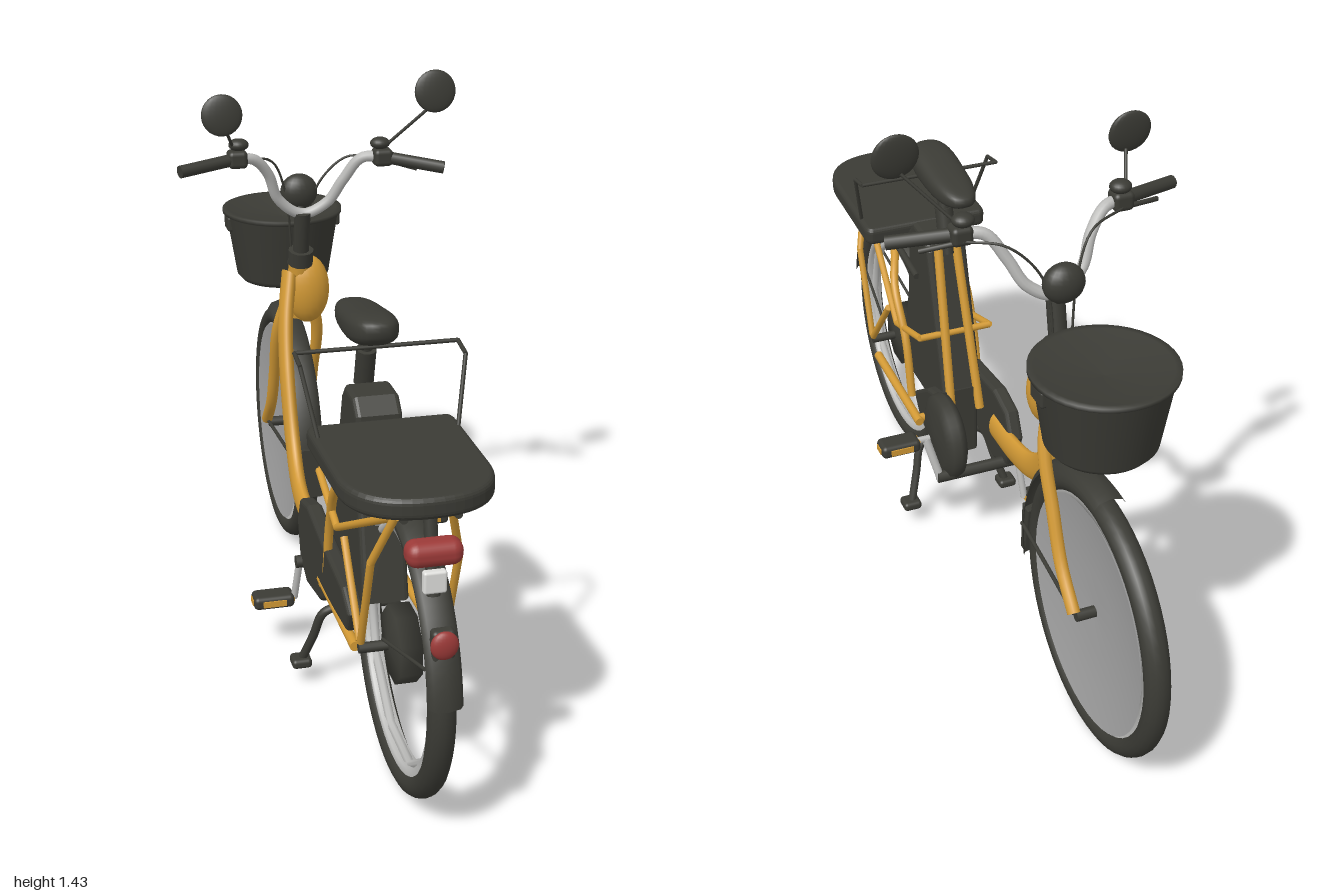
import * as THREE from 'three';
import { RoundedBoxGeometry } from 'three/addons/geometries/RoundedBoxGeometry.js';

export function createModel() {
  const root = new THREE.Group();
  root.name = 'bicycle';
  const material = (name, color, side = THREE.FrontSide) => {
    const m = new THREE.MeshStandardMaterial({ color, side });
    m.name = name;
    return m;
  };
  const dark = material('darkRubber', 0x3b3b35, THREE.DoubleSide);
  const gold = material('goldPaint', 0xd39a35);
  const chrome = material('chrome', 0xbcbcba, THREE.DoubleSide);
  const spokeGrey = material('spokeGrey', 0xa4a4a4, THREE.DoubleSide);
  const red = material('redLens', 0x9c3a38);
  const white = material('whiteReflector', 0xdededb);

  const add = (name, geo, mat, x = 0, y = 0, z = 0) => {
    const m = new THREE.Mesh(geo, mat);
    m.name = name;
    m.position.set(x, y, z);
    root.add(m);
    return m;
  };
  const v = (p) => new THREE.Vector3(...p);
  const tube = (name, pts, r, mat, seg = 24) =>
    add(name, new THREE.TubeGeometry(new THREE.CatmullRomCurve3(pts.map(v)), seg, r, 10), mat);
  // straight capped rod between two points
  const rod = (name, a, b, r, mat, r2 = r) => {
    const A = v(a), B = v(b), d = B.clone().sub(A);
    const m = add(name, new THREE.CylinderGeometry(r2, r, d.length(), 12), mat);
    m.position.copy(A).add(B).multiplyScalar(0.5);
    m.quaternion.setFromUnitVectors(new THREE.Vector3(0, 1, 0), d.normalize());
    return m;
  };
  const box = (name, w, h, d, r, mat, x, y, z) =>
    add(name, new RoundedBoxGeometry(w, h, d, 3, r), mat, x, y, z);
  const ball = (name, sx, sy, sz, mat, x, y, z) =>
    add(name, new THREE.SphereGeometry(1, 20, 14).scale(sx, sy, sz), mat, x, y, z);
  // lathe whose axis lies along x; profile is [radius, x]
  const wheelLathe = (pts, seg = 48, start = 0, len = Math.PI * 2) =>
    new THREE.LatheGeometry(pts.map((p) => new THREE.Vector2(...p)), seg, start, len).rotateZ(-Math.PI / 2);
  // side outline [z, y] extruded across x
  const sidePlate = (name, pts, x0, x1, bevel, mat) => {
    const s = new THREE.Shape(pts.map(([z, y]) => new THREE.Vector2(-z, y)));
    const g = new THREE.ExtrudeGeometry(s, {
      depth: x1 - x0 - 2 * bevel, bevelSize: bevel, bevelThickness: bevel, bevelSegments: 3,
    });
    return add(name, g.rotateY(Math.PI / 2), mat, x0 + bevel, 0, 0);
  };
  const CX = -0.02, AY = 0.345, RZ = 0.65, FZ = -0.661;

  // Wheels
  for (const [side, z] of [['rear', RZ], ['front', FZ]]) {
    add(side + 'Tire', new THREE.TorusGeometry(0.311, 0.028, 14, 56).rotateY(Math.PI / 2).scale(1.1, 1, 1), dark, CX, AY, z);
    add(side + 'Rim', wheelLathe([[0.29, 0.02], [0.272, 0.018], [0.272, -0.018], [0.29, -0.02]]), chrome, CX, AY, z);
  }
  add('rearRimBand', new THREE.TorusGeometry(0.277, 0.011, 8, 10).rotateY(Math.PI / 2), chrome, CX, AY, RZ);
  // front spokes read as two shallow dished faces
  for (const s of [-1, 1]) {
    add('spokeDisc', wheelLathe([[0.001, 0.002 * s], [0.1, 0.005 * s], [0.2, 0.012 * s], [0.285, 0.026 * s]]), spokeGrey, CX, AY, FZ);
  }
  rod('frontHub', [CX - 0.05, AY, FZ], [CX + 0.05, AY, FZ], 0.014, dark);
  add('rearHub', wheelLathe([[0.001, -0.035], [0.09, -0.025], [0.09, 0.025], [0.001, 0.035]], 8, Math.PI / 8), dark, CX, AY, RZ);
  rod('rearAxle', [-0.12, AY, RZ], [0.08, AY, RZ], 0.012, dark);

  // Mudguards
  const D = Math.PI / 180;
  const guard = [[0.338, -0.038], [0.353, -0.028], [0.362, 0], [0.353, 0.028], [0.338, 0.038]];
  add('rearMudguard', wheelLathe(guard, 36, -165 * D, 158 * D), dark, CX, AY, RZ);
  add('frontMudguard', wheelLathe(guard, 30, -98 * D, 111 * D), dark, CX, AY, FZ);
  sidePlate('frontMudflap', [[-0.3, 0.4], [-0.295, 0.27], [-0.31, 0.27], [-0.33, 0.4]], -0.05, 0.01, 0.004, dark);

  // Main tube: a flat oval section that swings out to the right side
  const path = [[-0.05, 0.87, -0.43], [-0.07, 0.76, -0.385], [-0.08, 0.64, -0.33], [-0.085, 0.45, -0.225],
    [-0.09, 0.375, -0.13], [-0.09, 0.345, -0.01], [-0.09, 0.34, 0.12]].map(([x, y, z]) => v([x * 2, y, z]));
  add('mainTube', new THREE.TubeGeometry(new THREE.CatmullRomCurve3(path), 40, 0.038, 14).scale(0.5, 1, 1), gold);
  rod('headTube', [CX, 0.75, -0.455], [CX, 0.9, -0.425], 0.038, gold, 0.032);
  ball('headLug', 0.06, 0.095, 0.045, gold, 0, 0.825, -0.43);

  // Fork and mudguard stays
  for (const s of [-1, 1]) {
    const x = CX + s * 0.055;
    tube('forkLeg', [[CX + s * 0.025, 0.82, -0.44], [x, 0.7, -0.475], [x, 0.56, -0.53], [x, 0.44, -0.585], [x, AY + 0.01, FZ]], 0.016, gold);
    rod('frontStay', [x, AY + 0.01, FZ], [CX + s * 0.035, AY + 0.01, -0.31], 0.005, dark);
    rod('rearStay', [x, AY + 0.04, RZ + 0.04], [CX + s * 0.035, 0.46, 0.95], 0.004, dark);
  }

  // Rear triangle and rack supports
  for (const x of [-0.115, 0.08]) {
    const inner = x < 0 ? -0.075 : 0.04;
    rod('chainStay', [x, 0.32, 0.6], [x, 0.31, 0.25], 0.012, gold);
    rod('seatStay', [x, 0.36, 0.64], [x, 0.54, 0.49], 0.009, gold);
    rod('rackLeg', [x, 0.36, 0.65], [x, 0.6, 0.735], 0.009, gold);
    rod('rackLegTop', [x, 0.6, 0.735], [inner, 0.745, 0.8], 0.009, gold);
    rod('rackBrace', [inner, 0.735, 0.8], [x, 0.53, 0.42], 0.009, gold);
    rod('seatBrace', [x, 0.53, 0.42], [x, 0.59, 0.23], 0.009, gold);
    tube('rackHoop', [[inner, 0.735, 0.78], [inner, 0.71, 0.55], [x, 0.64, 0.43], [x, 0.52, 0.35], [x, 0.36, 0.31]], 0.011, gold);
    rod('seatTubeRail', [CX + (x < 0 ? -0.04 : 0.04), 0.38, 0.16], [CX + (x < 0 ? -0.025 : 0.025), 0.82, 0.29], 0.012, gold);
    rod('rackRail', [inner, 0.75, 0.85], [inner, 0.7, 0.36], 0.009, dark);
  }
  rod('stayBridge', [-0.125, 0.31, 0.27], [0.085, 0.31, 0.27], 0.011, gold);
  rod('braceBridge', [-0.115, 0.59, 0.23], [0.08, 0.59, 0.23], 0.009, gold);

  // Battery, motor and chain case
  sidePlate('battery', [[0.3, 0.8], [0.325, 0.828], [0.395, 0.828], [0.425, 0.8], [0.44, 0.62], [0.5, 0.38], [0.46, 0.36],
    [0.24, 0.36], [0.19, 0.42]], -0.075, 0.035, 0.012, dark);
  add('motor', wheelLathe([[0.001, 0.025], [0.09, 0.025], [0.11, 0.035], [0.116, 0.05], [0.11, 0.07], [0.08, 0.083], [0.001, 0.087]], 32), dark, 0, 0.345, 0.12);
  sidePlate('chainCase', [[0.02, 0.36], [0.05, 0.42], [0.13, 0.44], [0.3, 0.42], [0.5, 0.41], [0.56, 0.38], [0.54, 0.34],
    [0.36, 0.32], [0.27, 0.27], [0.12, 0.24], [0.05, 0.27]], -0.125, -0.085, 0.01, dark);
  sidePlate('motorCover', [[0.18, 0.43], [0.24, 0.41], [0.34, 0.34], [0.3, 0.29], [0.18, 0.25]], -0.06, 0.06, 0.01, dark);

  // Cranks and pedals with amber reflector strips
  rod('crankAxle', [-0.14, 0.26, 0.06], [0.1, 0.26, 0.06], 0.016, dark);
  rod('leftCrank', [0.09, 0.25, 0.06], [0.12, 0.37, 0.09], 0.011, chrome);
  rod('rightCrank', [-0.13, 0.26, 0.06], [-0.14, 0.145, 0.035], 0.009, chrome);
  rod('leftPedalAxle', [0.11, 0.37, 0.09], [0.16, 0.37, 0.09], 0.009, chrome);
  for (const [name, x, y, z] of [['leftPedal', 0.195, 0.37, 0.09], ['rightPedal', -0.195, 0.145, 0.03]]) {
    box(name, 0.105, 0.035, 0.06, 0.012, dark, x, y, z);
    for (const s of [-1, 1]) {
      add('pedalReflector', new THREE.BoxGeometry(0.06, 0.016, 0.006), gold, x, y, z + s * 0.03);
      add('pedalEndReflector', new THREE.BoxGeometry(0.006, 0.014, 0.03), gold, x + s * 0.052, y, z);
    }
  }

  // Double-leg stand
  for (const s of [-1, 1]) {
    tube('standLeg', [[CX, 0.235, 0.27], [CX + s * 0.07, 0.235, 0.27], [CX + s * 0.095, 0.22, 0.265],
      [CX + s * 0.115, 0.15, 0.245], [CX + s * 0.138, 0.075, 0.22]], 0.011, dark);
    box('standFoot', 0.05, 0.025, 0.05, 0.01, dark, CX + s * 0.142, 0.068, 0.22);
  }
  rod('standPivot', [CX, 0.22, 0.27], [CX, 0.34, 0.24], 0.03, dark);

  // Seat: squared-off ellipsoid, deep and raised at the back, slimmer at the nose
  const seat = new THREE.SphereGeometry(1, 32, 20);
  const p = seat.attributes.position;
  const square = (t, k) => Math.sign(t) * Math.abs(t) ** k;
  for (let i = 0; i < p.count; i++) {
    const z = square(p.getZ(i), 0.7), x = square(p.getX(i), 0.75), y = square(p.getY(i), 0.75);
    p.setXYZ(i, x * (0.057 + 0.007 * z), y * (0.036 + 0.008 * z) + 0.014 * z + 0.008 * z * z, z * 0.152);
  }
  seat.computeVertexNormals();
  add('seat', seat, dark, -0.03, 0.995, 0.33);
  rod('seatPost', [CX, 0.8, 0.28], [CX, 0.97, 0.32], 0.015, dark);
  rod('seatClamp', [CX, 0.83, 0.285], [CX, 0.92, 0.31], 0.024, dark);

  // Rear cushion with rounded tail, and its wire loop
  const pad = new THREE.Shape();
  pad.moveTo(-0.15, -0.47);
  pad.lineTo(0.15, -0.47);
  pad.quadraticCurveTo(0.158, -0.47, 0.158, -0.49);
  pad.lineTo(0.155, -0.75);
  pad.bezierCurveTo(0.15, -0.85, 0.09, -0.89, 0, -0.89);
  pad.bezierCurveTo(-0.09, -0.89, -0.15, -0.85, -0.155, -0.75);
  pad.lineTo(-0.158, -0.49);
  pad.quadraticCurveTo(-0.158, -0.47, -0.15, -0.47);
  add('rearCushion', new THREE.ExtrudeGeometry(pad, { depth: 0.02, bevelSize: 0.012, bevelThickness: 0.014, bevelSegments: 4, curveSegments: 12 })
    .rotateX(-Math.PI / 2).rotateX(-0.02), dark, -0.027, 0.765, 0);
  const loop = [[-0.18, 0.79, 0.54], [-0.21, 0.955, 0.48], [-0.21, 0.965, 0.42], [0.163, 0.965, 0.42], [0.163, 0.955, 0.48], [0.13, 0.79, 0.54]];
  for (let i = 0; i < 5; i++) rod('loopWire', loop[i], loop[i + 1], 0.005, dark);

  // Tail lamp and reflectors
  box('tailLamp', 0.12, 0.055, 0.06, 0.024, red, -0.03, 0.705, 0.91);
  rod('tailLampBracket', [-0.025, 0.78, 0.86], [-0.025, 0.6, 0.9], 0.015, dark);
  box('whiteReflector', 0.05, 0.05, 0.02, 0.006, white, -0.028, 0.64, 0.915);
  ball('redReflector', 0.03, 0.032, 0.014, red, -0.022, 0.525, 0.975);
  box('reflectorHolder', 0.05, 0.11, 0.03, 0.01, dark, -0.022, 0.5, 0.96);

  // Front basket with a sagging cover and side tabs
  const basket = [[0.001, 0.8], [0.115, 0.8], [0.128, 0.815], [0.155, 0.985], [0.165, 0.99], [0.165, 1.0], [0.15, 1.0], [0.1, 0.985], [0.001, 0.975]]
    .map((q) => new THREE.Vector2(...q));
  add('basket', new THREE.LatheGeometry(basket, 40), dark, -0.027, 0, -0.635);
  rod('basketBracket', [CX, 0.88, -0.42], [CX, 0.88, -0.53], 0.022, dark);
  for (const s of [-1, 1]) box('basketTab', 0.02, 0.04, 0.06, 0.006, dark, -0.027 + s * 0.148, 0.965, -0.635);

  // Stem, handlebar and headlamp
  rod('stem', [CX, 0.89, -0.425], [CX, 1.05, -0.39], 0.022, dark);
  rod('stemCollar', [CX, 0.9, -0.422], [CX, 0.94, -0.414], 0.034, dark);
  tube('handlebar', [[-0.21, 1.218, -0.33], [-0.155, 1.21, -0.345], [-0.115, 1.165, -0.365], [-0.085, 1.09, -0.385], [-0.02, 1.045, -0.395],
    [0.045, 1.075, -0.385], [0.085, 1.14, -0.365], [0.13, 1.2, -0.345], [0.2, 1.2, -0.325]], 0.014, chrome, 60);
  ball('headlamp', 0.05, 0.048, 0.035, dark, CX, 1.095, -0.435);
  rod('headlampArm', [CX, 1.03, -0.4], [CX, 1.07, -0.435], 0.012, dark);

  // Grips, brake levers, mirrors and cables: [inner grip, outer grip, mirror centre, radius]
  const ends = [
    [[-0.2, 1.217, -0.335], [-0.355, 1.205, -0.28], [-0.247, 1.345, -0.27], 0.052],
    [[0.18, 1.203, -0.33], [0.33, 1.18, -0.27], [0.302, 1.38, -0.27], 0.054],
  ];
  for (const [a, b, m, r] of ends) {
    const s = Math.sign(a[0]);
    rod('grip', a, b, 0.016, dark);
    box('gripSwitch', 0.05, 0.045, 0.05, 0.012, dark, a[0], a[1], a[2]);
    ball('bell', 0.026, 0.016, 0.024, dark, a[0] - s * 0.005, a[1] + 0.035, a[2] - 0.005);
    rod('brakeLever', [a[0], a[1] - 0.01, a[2] - 0.02], [b[0] - s * 0.06, b[1] - 0.01, b[2] - 0.045], 0.006, dark);
    rod('mirrorStem', [a[0] + s * 0.01, a[1] + 0.03, a[2]], [m[0] - s * 0.01, m[1] - 0.04, m[2] - 0.005], 0.004, dark);
    ball('mirror', r, r, 0.012, dark, ...m).rotation.x = -0.12;
    tube('cable', [[a[0], a[1] - 0.01, a[2] - 0.02], [s * 0.1, 1.19, -0.4], [CX + s * 0.04, 1.1, -0.42], [CX + s * 0.02, 0.92, -0.44]], 0.003, dark);
  }
  return root;
}
